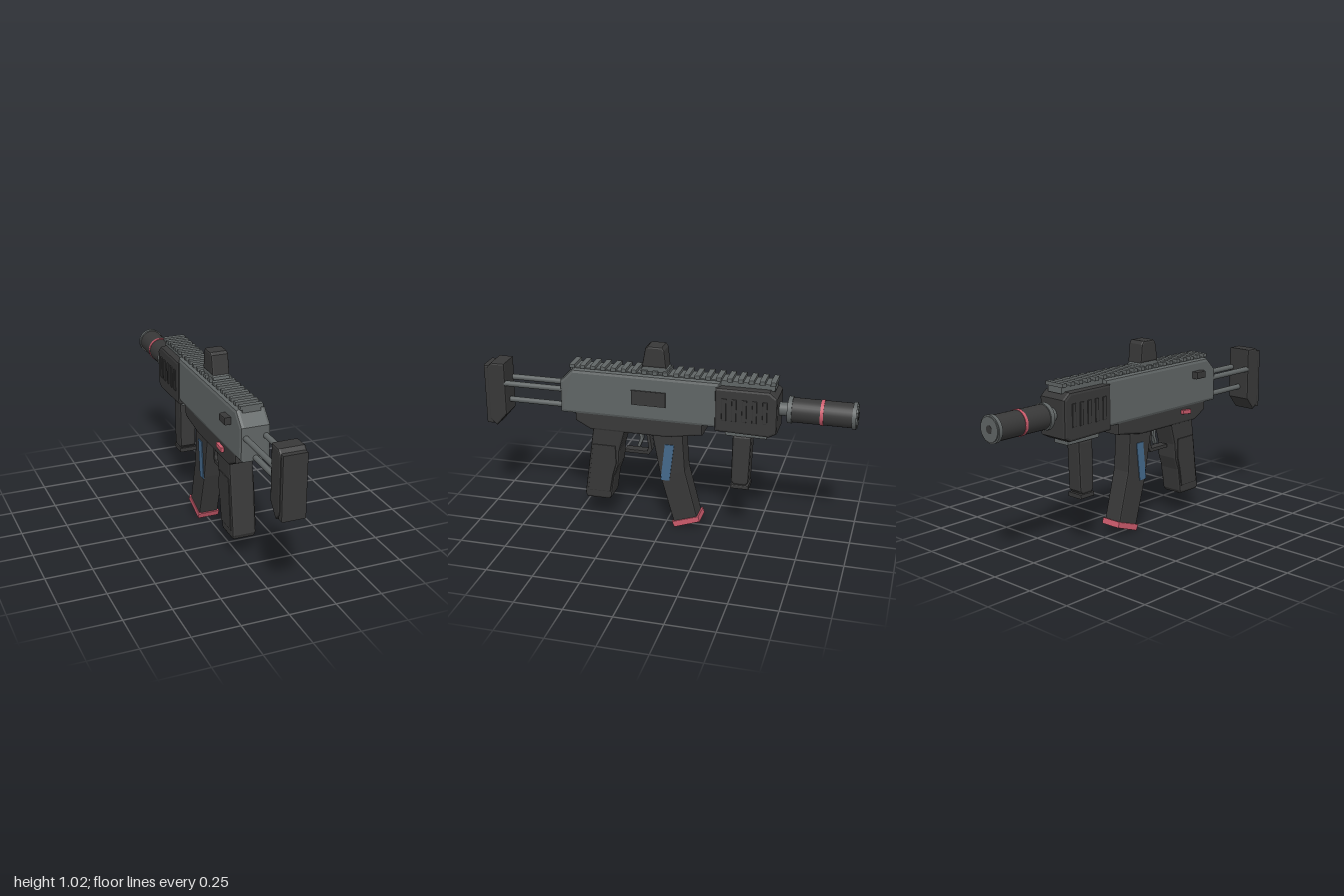
import * as THREE from 'three';

const CX = 0.007; // lengthwise centre plane

export function createModel() {
  const model = new THREE.Group();
  model.name = 'compactCarbine';

  const mat = (name, color) => {
    const m = new THREE.MeshStandardMaterial({ color });
    m.name = name;
    return m;
  };
  const dark = mat('dark polymer', 0x383838);
  const grey = mat('gunmetal', 0x606565);
  const red = mat('red accent', 0xcc5b6c);
  const blue = mat('blue window', 0x44698c);

  const add = (name, geometry, material, x = 0, y = 0, z = 0, parent = model) => {
    const mesh = new THREE.Mesh(geometry, material);
    mesh.name = name;
    mesh.position.set(x, y, z);
    parent.add(mesh);
    return mesh;
  };

  // Side profile of [z, y] points, extruded across the width with a bevel inside the outline
  const profile = (name, pts, width, bevel, material, x = CX, parent = model) => {
    const shape = new THREE.Shape(pts.map(([z, y]) => new THREE.Vector2(-z, y)));
    const depth = width - 2 * bevel;
    const g = new THREE.ExtrudeGeometry(shape, {
      depth, bevelEnabled: bevel > 0, bevelThickness: bevel, bevelSize: bevel,
      bevelOffset: -bevel, bevelSegments: 2,
    });
    g.translate(0, 0, -depth / 2);
    g.rotateY(Math.PI / 2);
    return add(name, g, material, x, 0, 0, parent);
  };

  // Box given by its z and y ranges
  const block = (name, z0, z1, y0, y1, width, bevel, material, x = CX, parent = model) =>
    profile(name, [[z0, y0], [z1, y0], [z1, y1], [z0, y1]], width, bevel, material, x, parent);

  // Cylinder lying along z
  const tube = (name, r, z0, z1, x, y, material, parent = model) => {
    const g = new THREE.CylinderGeometry(r, r, Math.abs(z1 - z0), 32);
    g.rotateX(Math.PI / 2);
    return add(name, g, material, x, y, (z0 + z1) / 2, parent);
  };

  // Receiver
  profile('upperReceiver', [[0.565, 0.62], [-0.3, 0.62], [-0.3, 0.87], [0.495, 0.87], [0.565, 0.8]],
    0.16, 0.018, grey);
  profile('lowerReceiver', [[0.485, 0.64], [-0.21, 0.64], [-0.21, 0.565], [-0.02, 0.535],
    [0.4, 0.535], [0.485, 0.58]], 0.15, 0.012, dark);
  block('ejectionPort', 0.17, -0.015, 0.707, 0.788, 0.016, 0.002, dark, 0.086);
  block('chargingHandle', 0.44, 0.37, 0.773, 0.812, 0.045, 0.006, dark, -0.085);
  profile('selectorLever', [[0.345, 0.583], [0.28, 0.59], [0.28, 0.612], [0.345, 0.607]],
    0.022, 0.003, red, -0.075);

  // Handguard with raised ribs on both sides
  const handguard = new THREE.Group();
  handguard.name = 'handguard';
  model.add(handguard);
  profile('handguardShell', [[-0.275, 0.605], [-0.56, 0.598], [-0.6, 0.62], [-0.6, 0.815],
    [-0.56, 0.848], [-0.275, 0.848]], 0.178, 0.014, dark, CX, handguard);
  for (const side of [-1, 1]) {
    for (let i = 0; i < 5; i++) {
      const z = -0.325 - i * 0.053;
      block('handguardRib', z + 0.012, z - 0.012, 0.672, 0.792, 0.018, 0.004, dark,
        CX + side * 0.086, handguard);
    }
  }

  // Top rail
  const rail = new THREE.Group();
  rail.name = 'topRail';
  model.add(rail);
  block('railBase', 0.51, -0.58, 0.84, 0.876, 0.1, 0.003, grey, CX, rail);
  for (let i = 0; i < 20; i++) {
    const z = 0.497 - i * 0.0562;
    block('railTooth', z + 0.014, z - 0.014, 0.872, 0.892, 0.124, 0.003, grey, CX, rail);
  }

  // Sight
  profile('sightMount', [[0.13, 0.882], [-0.02, 0.882], [-0.015, 0.9], [0, 0.912], [0.11, 0.912],
    [0.125, 0.9]], 0.09, 0.004, grey);
  profile('sightBody', [[0.122, 0.908], [-0.01, 0.908], [0, 1.005], [0.012, 1.022], [0.088, 1.022],
    [0.103, 1.01]], 0.096, 0.01, dark);

  // Stock: three rods, frame and butt pad
  [[CX - 0.053, 0.745], [CX + 0.053, 0.745], [CX, 0.635]].forEach(([x, y]) =>
    tube('stockRod', 0.015, 0.53, 0.9, x, y, grey));
  profile('stockFrame', [[0.88, 0.86], [0.955, 0.86], [0.982, 0.83], [0.982, 0.535], [0.942, 0.498],
    [0.88, 0.57]], 0.138, 0.01, dark);
  block('buttPad', 0.96, 1.0, 0.508, 0.842, 0.128, 0.007, dark);

  // Pistol grip with side panels
  profile('pistolGrip', [[0.39, 0.55], [0.21, 0.55], [0.245, 0.42], [0.25, 0.34], [0.275, 0.27],
    [0.293, 0.145], [0.305, 0.127], [0.435, 0.127], [0.445, 0.15]], 0.132, 0.014, dark);
  profile('gripPanels', [[0.39, 0.45], [0.265, 0.45], [0.262, 0.35], [0.282, 0.28], [0.3, 0.175],
    [0.425, 0.175]], 0.143, 0.004, dark);

  // Trigger and guard
  profile('triggerGuard', [[0.225, 0.403], [0.092, 0.403], [0.074, 0.43], [0.09, 0.54], [0.108, 0.54],
    [0.094, 0.445], [0.102, 0.422], [0.225, 0.422]], 0.05, 0.002, dark);
  profile('trigger', [[0.152, 0.54], [0.13, 0.54], [0.125, 0.485], [0.145, 0.435], [0.16, 0.442],
    [0.144, 0.485]], 0.024, 0.002, grey);

  // Magazine with window plates and base
  profile('magazine', [[0.07, 0.56], [-0.1, 0.56], [-0.115, 0.34], [-0.185, 0.07], [-0.055, 0.025],
    [0.02, 0.29]], 0.11, 0.009, dark);
  profile('magazineBase', [[-0.045, 0.034], [-0.192, 0.084], [-0.2, 0.053], [-0.058, 0.002]],
    0.122, 0.004, red);
  for (const side of [-1, 1]) {
    profile('magazineWindow', [[-0.005, 0.487], [-0.055, 0.487], [-0.03, 0.278], [0.018, 0.278]],
      0.006, 0, blue, CX + side * 0.056);
  }

  // Foregrip
  block('foregripMount', -0.325, -0.545, 0.573, 0.602, 0.1, 0.004, grey);
  profile('foregrip', [[-0.365, 0.575], [-0.465, 0.575], [-0.455, 0.31], [-0.44, 0.292],
    [-0.375, 0.292], [-0.36, 0.31]], 0.09, 0.012, dark);
  block('foregripCap', -0.362, -0.457, 0.271, 0.294, 0.098, 0.005, dark);

  // Barrel and suppressor
  const Y = 0.733;
  tube('barrel', 0.035, -0.57, -0.65, CX, Y, grey);
  tube('suppressorBody', 0.064, -0.66, -0.98, CX, Y, dark);
  tube('suppressorCollar', 0.07, -0.645, -0.668, CX, Y, grey);
  tube('suppressorEndCap', 0.07, -0.973, -0.993, CX, Y, grey);
  tube('suppressorFace', 0.062, -0.99, -0.999, CX, Y, grey);
  tube('suppressorBand', 0.067, -0.812, -0.828, CX, Y, red);
  tube('muzzleBore', 0.02, -0.99, -1.0, CX, Y, dark);

  return model;
}
